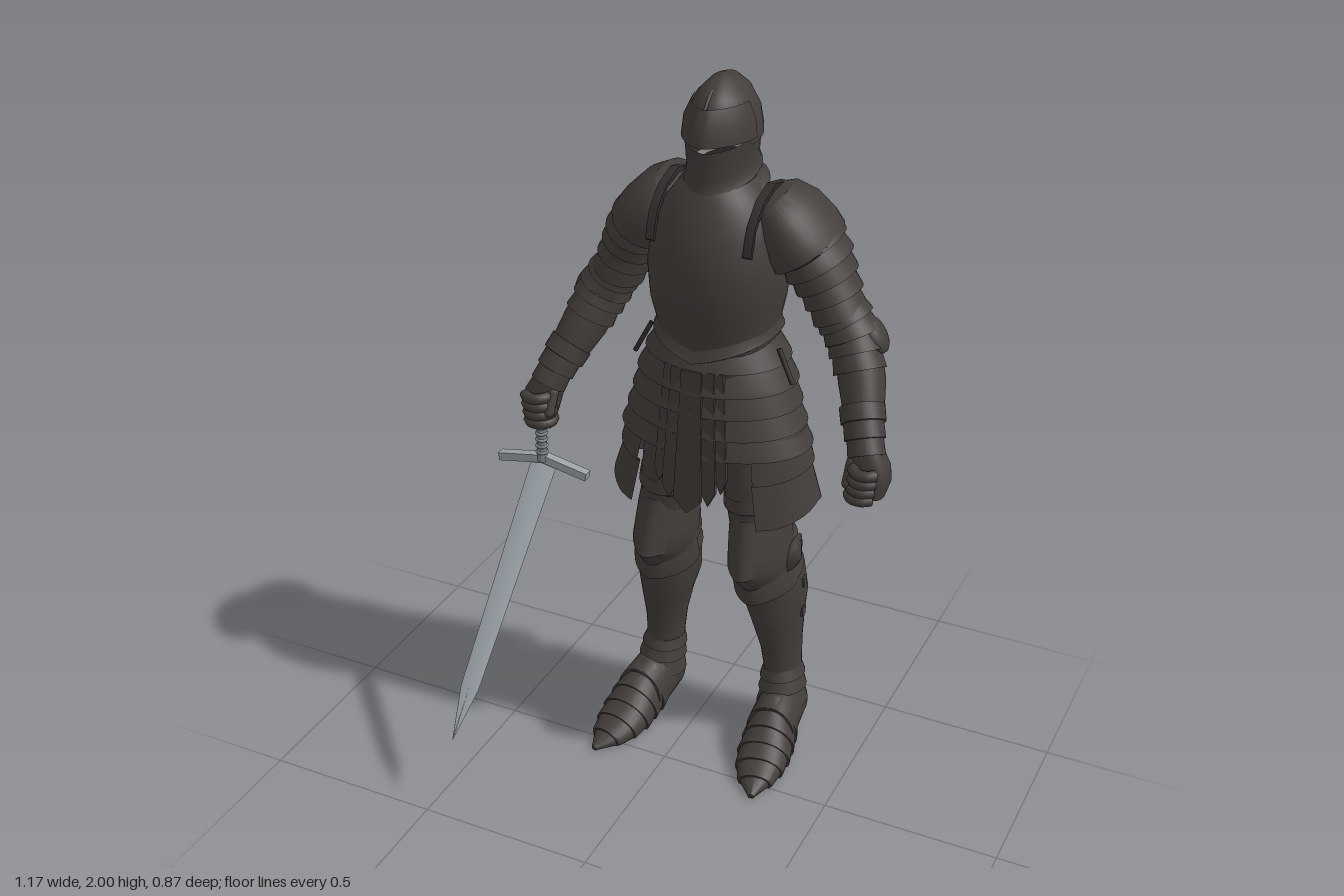
import * as THREE from 'three';
import { toCreasedNormals } from 'three/addons/utils/BufferGeometryUtils.js';

const mat = (name, color) => {
  const m = new THREE.MeshStandardMaterial({ color, side: THREE.DoubleSide });
  m.name = name;
  return m;
};
const V = (x, y, z) => new THREE.Vector3(x, y, z);

// Skin over elliptical sections [x, y, z, radius across, radius deep], square to their path.
function loft(secs, { seg = 28, e = 2, keel = 0, from = 0, to = 360, cap = false, warp } = {}) {
  if (cap) {
    const shut = (s) => [s[0], s[1], s[2], 0.0005, 0.0005];
    secs = [shut(secs[0]), ...secs, shut(secs[secs.length - 1])];
  }
  const pts = secs.map((s) => V(s[0], s[1], s[2]));
  const pos = [], idx = [], last = secs.length - 1;
  const pow = (c) => Math.sign(c) * Math.abs(c) ** (2 / e);
  secs.forEach((s, i) => {
    const t = pts[Math.min(i + 2, last)].clone().sub(pts[Math.max(i - 2, 0)]).normalize();
    const u = V(1, 0, 0).addScaledVector(t, -t.x).normalize();
    const v = t.clone().cross(u);
    for (let j = 0; j <= seg; j++) {
      const a = THREE.MathUtils.degToRad(from + ((to - from) * j) / seg);
      const c = Math.cos(a), d = Math.sin(a);
      const front = 1 + keel * Math.max(0, d) ** 10;
      const p = pts[i].clone().addScaledVector(u, s[3] * pow(c)).addScaledVector(v, s[4] * pow(d) * front);
      if (warp) warp(p);
      pos.push(p.x, p.y, p.z);
      if (i < last && j < seg) {
        const k = i * (seg + 1) + j, n = k + seg + 1;
        idx.push(k, k + 1, n, k + 1, n + 1, n);
      }
    }
  });
  const g = new THREE.BufferGeometry();
  g.setAttribute('position', new THREE.Float32BufferAttribute(pos, 3));
  g.setIndex(idx);
  return toCreasedNormals(g, 0.6);
}

// Turns smooth sections into n overlapping lames, each flaring to a lip.
function lames(secs, n, lip) {
  const path = new THREE.CatmullRomCurve3(secs.map((s) => V(s[0], s[1], s[2])));
  const size = new THREE.CatmullRomCurve3(secs.map((s) => V(s[3], s[4], 0)));
  const at = (t, add) => {
    const p = path.getPoint(t), r = size.getPoint(t);
    return [p.x, p.y, p.z, Math.max(r.x + add, 0.001), Math.max(r.y + add, 0.001)];
  };
  const out = [];
  for (let i = 0; i < n; i++) out.push(at(i / n, 0), at((i + 0.8) / n, lip * 0.8), at((i + 1) / n, lip));
  return out;
}

function mirrored(geometry) {
  const g = geometry.index ? geometry.toNonIndexed() : geometry.clone();
  g.scale(-1, 1, 1);
  for (const a of Object.values(g.attributes)) {
    for (let i = 0; i < a.count; i += 3) {
      for (let k = 0; k < a.itemSize; k++) {
        const b = a.getComponent(i + 1, k);
        a.setComponent(i + 1, k, a.getComponent(i + 2, k));
        a.setComponent(i + 2, k, b);
      }
    }
  }
  return g;
}

export function createModel() {
  const armour = mat('darkArmour', 0x423d3a);
  const leather = mat('darkLeather', 0x302c2a);
  const steel = mat('bladeSteel', 0x9ba3a9);
  const gripGrey = mat('gripGrey', 0x80878d);
  const root = new THREE.Group();
  root.name = 'knight';
  const body = new THREE.Group();
  body.name = 'body';
  body.position.x = 0.05;
  root.add(body);
  const add = (name, g, m = armour) => {
    const mesh = new THREE.Mesh(g, m);
    mesh.name = name;
    body.add(mesh);
  };
  const pair = (name, g, m) => {
    add(name + 'Left', g, m);
    add(name + 'Right', mirrored(g), m);
  };
  const tilt = (p) => { p.y -= 0.24 * (p.z + 0.235); };

  // Helmet: skull, pointed visor and tilted bevor with an open eye slit
  add('helmetSkull', loft([[0, 2, -.235, .001, .001], [0, 1.988, -.235, .03, .055], [0, 1.955, -.235, .062, .098],
    [0, 1.905, -.235, .087, .127], [0, 1.855, -.237, .095, .134], [0, 1.835, -.237, .095, .133]],
    { warp: (p) => { if (p.y < 1.856 && p.z > -.2) p.y = 1.856; } }));
  add('helmetVisor', loft([[0, 1.94, -.235, .074, .108], [0, 1.9, -.235, .093, .129], [0, 1.85, -.235, .099, .135]],
    { from: 5, to: 175, keel: 0.14 }));
  add('helmetComb', new THREE.TubeGeometry(new THREE.CatmullRomCurve3([V(0, 1.87, -.366), V(0, 1.95, -.33),
    V(0, 1.992, -.235), V(0, 1.95, -.135), V(0, 1.87, -.09)]), 20, .005, 6));
  add('bevor', loft([[0, 1.86, -.237, .094, .122], [0, 1.82, -.237, .09, .119], [0, 1.78, -.237, .088, .116],
    [0, 1.76, -.237, .091, .118], [0, 1.75, -.237, .097, .122]], { keel: 0.07, warp: tilt }));

  // Torso
  add('cuirass', loft([[0, 1.735, -.235, .088, .11], [0, 1.705, -.235, .115, .126], [0, 1.66, -.238, .15, .15],
    [0, 1.6, -.228, .172, .172], [0, 1.5, -.225, .184, .181], [0, 1.41, -.225, .176, .176],
    [0, 1.34, -.23, .161, .16], [0, 1.29, -.23, .16, .152]], { e: 2.25, keel: 0.04, cap: true, seg: 40 }));
  add('gorgetRim', loft([[0, 1.738, -.235, .09, .113], [0, 1.715, -.235, .103, .125], [0, 1.705, -.235, .12, .136]],
    { keel: 0.1, warp: tilt }));
  const dip = (p) => { p.y -= 0.05 * Math.max(0, 1 - Math.abs(p.x) / 0.17); };
  add('waistFlange', loft([[0, 1.35, -.23, .161, .162], [0, 1.33, -.23, .166, .17], [0, 1.32, -.23, .17, .176],
    [0, 1.314, -.23, .16, .162]], { warp: dip, seg: 40, e: 2.2 }));
  pair('shoulderStrap', loft([[.135, 1.58, -.09, .013, .008], [.135, 1.65, -.112, .013, .008], [.135, 1.7, -.165, .013, .008],
    [.135, 1.722, -.235, .013, .008], [.135, 1.7, -.32, .013, .008], [.135, 1.64, -.375, .013, .008],
    [.12, 1.56, -.393, .013, .008]], { seg: 8, e: 6, cap: true }), leather);

  // Fauld of overlapping hoops, hip tassets and side points
  add('fauld', loft(lames([[0, 1.31, -.23, .156, .145], [0, 1.2, -.227, .205, .165], [0, 1.1, -.225, .23, .168],
    [0, 1.0, -.225, .26, .17]], 5, .014), { seg: 44 }));
  add('belt', loft([[0, 1.285, -.23, .172, .16], [0, 1.258, -.23, .187, .168]], { warp: dip, seg: 40 }), leather);
  const hem = (p) => { p.y += 0.32 * Math.max(0, 0.13 - Math.abs(p.z + 0.23)) * THREE.MathUtils.clamp((1 - p.y) / 0.2, 0, 1); };
  pair('tasset', loft(lames([[0, 1.05, -.23, .25, .175], [0, .93, -.23, .267, .185], [0, .8, -.23, .292, .192]], 2, .01),
    { from: -52, to: 52, warp: hem }));
  pair('sidePoint', new THREE.TubeGeometry(new THREE.LineCurve3(V(.185, 1.29, -.2), V(.23, 1.2, -.19)), 1, .007, 6), leather);

  // Hanging cloth strips fanning downward, front and back
  for (const [side, sign, zTop, zLow] of [['front', 1, -.058, -.034], ['back', -1, -.402, -.427]]) {
    for (const [x, w, low, depth] of [[0, .08, .83, 0], [.056, .044, .86, .008], [-.056, .044, .86, .008],
      [.09, .034, .9, .016], [-.09, .034, .9, .016]]) {
      const h = 1.25 - low, s = new THREE.Shape();
      s.moveTo(-w * .36, 0).lineTo(-w / 2, .04 - h).lineTo(0, -h).lineTo(w / 2, .04 - h).lineTo(w * .36, 0);
      const g = new THREE.ExtrudeGeometry(s, { depth: .012, bevelEnabled: false });
      g.translate(0, 0, -.006).rotateZ(x * .6).rotateX(-Math.atan((zLow - zTop) / .42));
      add(side + 'ClothStrip', g.translate(x * .8, 1.25, zTop - depth * sign));
    }
  }

  // Arms
  pair('pauldron', loft([[.1, 1.705, -.26, .005, .02], [.14, 1.68, -.262, .055, .095], [.178, 1.64, -.265, .075, .125],
    [.212, 1.59, -.27, .088, .137], [.23, 1.558, -.275, .092, .135], [.232, 1.555, -.275, .08, .118]], { seg: 32, e: 2.2 }));
  pair('shoulderLames', loft(lames([[.213, 1.6, -.272, .076, .12], [.252, 1.53, -.277, .077, .11],
    [.287, 1.46, -.28, .068, .088], [.322, 1.385, -.278, .06, .076]], 5, .013), { cap: true }));
  pair('elbowLames', loft(lames([[.313, 1.41, -.278, .062, .075], [.36, 1.33, -.275, .066, .076],
    [.395, 1.25, -.245, .06, .07]], 4, .01), { cap: true }));
  const couter = new THREE.SphereGeometry(1, 16, 10).scale(.022, .055, .045).rotateZ(.6);
  pair('elbowCop', couter.translate(.418, 1.345, -.285));
  pair('vambrace', loft([[.385, 1.28, -.265, .06, .073], [.405, 1.23, -.235, .062, .071], [.43, 1.17, -.19, .054, .06],
    [.455, 1.11, -.145, .044, .046]], { cap: true }));
  pair('gauntletCuff', loft(lames([[.425, 1.18, -.19, .06, .064], [.447, 1.13, -.155, .05, .052],
    [.468, 1.075, -.125, .044, .047]], 3, .006), { cap: true }));
  pair('handBack', loft([[.464, 1.09, -.13, .042, .043], [.48, 1.05, -.125, .05, .05], [.488, 1.01, -.118, .049, .05],
    [.486, .97, -.11, .038, .04]], { cap: true, e: 2.6 }));
  for (let i = 0; i < 4; i++) {
    const f = new THREE.TorusGeometry(.034, .016, 8, 14, 4.6).rotateX(Math.PI / 2).rotateY(-.6);
    pair('finger' + (i + 1), f.translate(.482 - i * .003, 1.056 - i * .025, -.09));
  }
  pair('thumb', new THREE.CapsuleGeometry(.016, .055, 4, 10).rotateX(-.5).translate(.438, 1.04, -.085));

  // Legs
  pair('cuisse', loft([[.1, 1.04, -.23, .09, .13], [.118, .92, -.232, .09, .13], [.13, .82, -.232, .085, .127],
    [.135, .74, -.228, .076, .115], [.145, .64, -.235, .07, .095]], { cap: true }));
  pair('cuisseBand', loft([[.125, .86, -.232, .09, .132], [.129, .82, -.232, .092, .134], [.13, .81, -.232, .084, .12]]));
  pair('poleyn', loft([[.137, .79, -.228, .078, .112], [.14, .735, -.225, .083, .122], [.143, .69, -.222, .084, .134],
    [.146, .65, -.22, .085, .146], [.15, .625, -.228, .082, .128], [.153, .595, -.24, .08, .105]],
    { from: -15, to: 195, keel: 0.13 }));
  pair('kneeApron', loft([[.15, .62, -.235, .082, .115], [.154, .575, -.24, .09, .124], [.156, .55, -.245, .09, .124],
    [.157, .545, -.25, .075, .1]], { from: -10, to: 190, keel: 0.08, warp: (p) => { p.y -= .12 * Math.max(0, -.16 - p.z); } }));
  pair('kneeLames', loft(lames([[.146, .7, -.235, .07, .1], [.152, .64, -.245, .076, .105], [.158, .56, -.265, .08, .105]], 3, .01),
    { cap: true }));
  pair('kneeWing', new THREE.SphereGeometry(1, 4, 6).scale(.02, .05, .06).rotateX(.6).translate(.232, .64, -.25));
  pair('greave', loft([[.153, .63, -.25, .076, .098], [.162, .55, -.275, .086, .105], [.168, .47, -.285, .088, .109],
    [.175, .4, -.288, .073, .098], [.184, .3, -.297, .058, .077], [.19, .21, -.303, .053, .067],
    [.195, .13, -.3, .058, .07]], { cap: true, keel: 0.05 }));
  for (const y of [.53, .43]) pair('greaveHinge', new THREE.BoxGeometry(.016, .03, .024).translate(.247, y, -.285));
  pair('ankleLames', loft(lames([[.188, .22, -.3, .053, .07], [.193, .17, -.295, .058, .074],
    [.198, .1, -.285, .065, .082]], 3, .008), { cap: true }));

  // Pointed sabatons with flat soles
  const sole = (p) => { p.y = Math.max(p.y, 0); };
  pair('sabatonHeel', loft([[.195, .045, -.37, .03, .045], [.198, .07, -.34, .058, .08], [.203, .08, -.25, .067, .1],
    [.212, .07, -.16, .072, .082]], { cap: true, warp: sole }));
  pair('sabatonToe', loft(lames([[.204, .07, -.23, .064, .1], [.214, .05, -.16, .071, .086], [.222, .03, -.09, .073, .06],
    [.233, .015, -.015, .057, .036], [.25, .006, .063, .002, .003]], 6, .006), { cap: true, warp: sole }));

  // Sword: upright grip, drooping guard, blade sloping forward
  const sx = -.492, sz = -.12;
  add('swordGrip', new THREE.CylinderGeometry(.014, .014, .2, 12).translate(sx, .925, sz), gripGrey);
  for (let i = 0; i < 7; i++) {
    add('gripRing', new THREE.TorusGeometry(.014, .005, 6, 14).rotateX(Math.PI / 2).translate(sx, .855 + i * .02, sz), gripGrey);
  }
  for (const s of [-1, 1]) {
    const arm = new THREE.BoxGeometry(.145, .024, .026).translate(s * .07, 0, 0).rotateZ(-s * .19);
    add('swordGuard', arm.translate(sx, .832, sz - .007), steel);
  }
  add('swordBlade', loft([[sx, .81, -.126, .041, .006], [sx, .33, .332, .028, .005], [sx, .222, .435, .001, .001]],
    { seg: 4, cap: true }), steel);
  return root;
}
